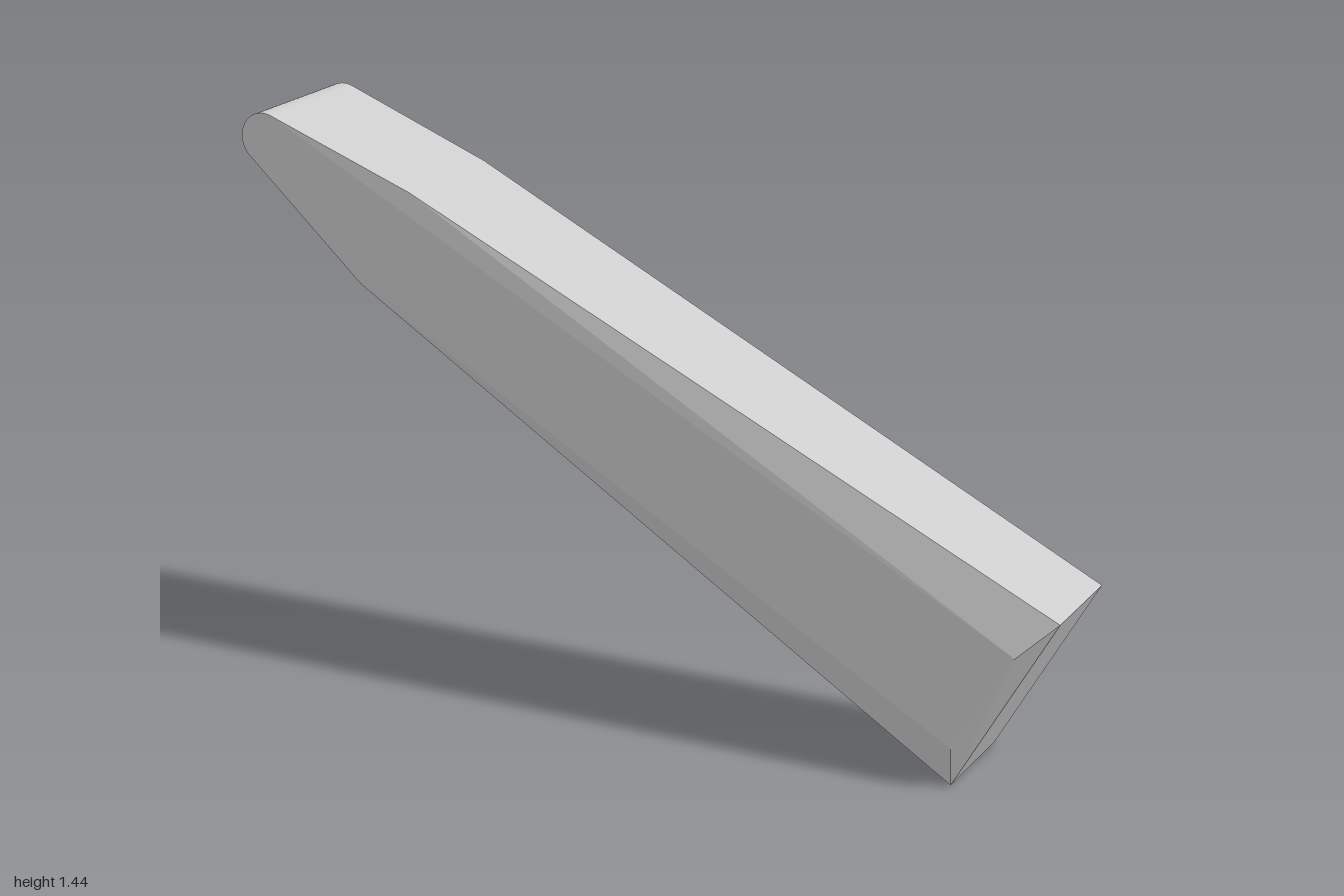
import * as THREE from 'three';
import { ConvexGeometry } from 'three/addons/geometries/ConvexGeometry.js';
import { toCreasedNormals } from 'three/addons/utils/BufferGeometryUtils.js';

// Long axis of the bar in plan; the bar runs diagonally and climbs toward the back
const AX = 0.557, AZ = 0.831;

// s = along the axis (front positive), y = height, l = sideways
const place = (s, y, l) => new THREE.Vector3(s * AX + l * AZ, y, s * AZ - l * AX);

export function createModel() {
  const group = new THREE.Group();
  group.name = 'taperedBar';
  const grey = new THREE.MeshStandardMaterial({ color: 0xcccccc });
  grey.name = 'lightGrey';

  // Side profile with half widths: [s, y, halfWidth]
  const profile = [
    [1.11, 0.46, 0.14],     // front top edge
    [-0.594, 1.29, 0.18],   // bend in the top
    [-0.744, 1.04, 0.18],   // bend in the underside
    [0.853, 0, 0.142],      // front bottom edge
  ];

  // Rounded tip at the back
  const segments = 40, radius = 0.065;
  const from = THREE.MathUtils.degToRad(69.7), to = THREE.MathUtils.degToRad(226);
  for (let i = 0; i <= segments; i++) {
    const a = from + (to - from) * i / segments;
    profile.push([-1.01 + radius * Math.cos(a), 1.38 + radius * Math.sin(a), 0.187]);
  }

  const points = [];
  for (const [s, y, half] of profile) {
    points.push(place(s, y, half), place(s, y, -half));
  }

  // Swollen corners of the two sides, set back from the front face
  points.push(
    place(0.983, 0.357, 0.208), place(0.863, 0.11, 0.192),
    place(1.015, 0.37, -0.175), place(0.863, 0.11, -0.175),
  );

  // All faces are convex, so the skin is the hull; only the fine tip segments are smoothed
  const body = new THREE.Mesh(toCreasedNormals(new ConvexGeometry(points), 0.09), grey);
  body.name = 'barBody';
  group.add(body);
  return group;
}
